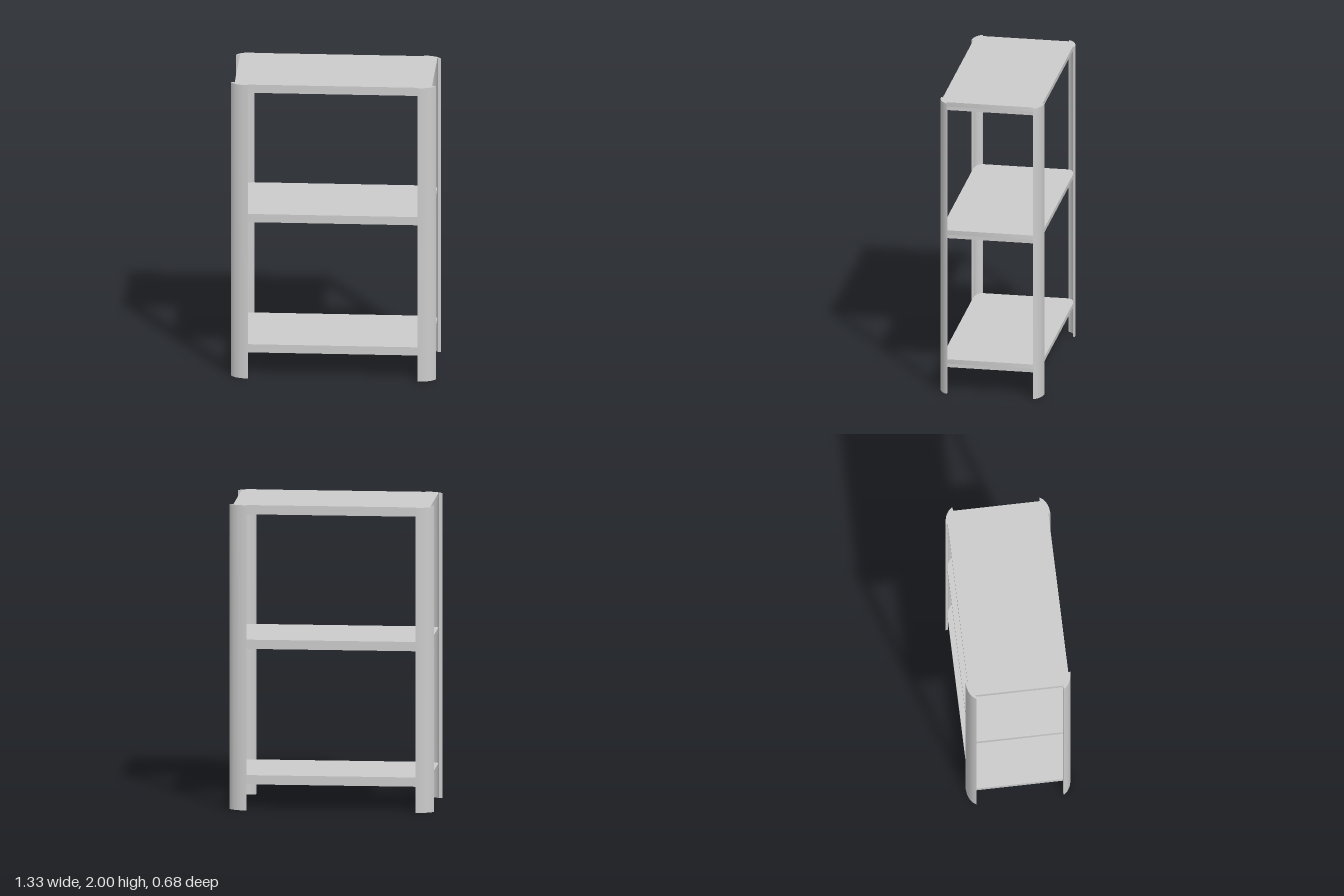
import * as THREE from 'three';
import { toCreasedNormals } from 'three/addons/utils/BufferGeometryUtils.js';

const material = new THREE.MeshStandardMaterial({ color: 0xcccccc });

// Raise a plan outline (x, z) into a solid standing between two heights.
function raise(shape, bottom, top) {
  const geometry = new THREE.ExtrudeGeometry(shape, {
    depth: top - bottom, bevelEnabled: false, curveSegments: 14,
  });
  geometry.rotateX(-Math.PI / 2);
  geometry.translate(0, bottom, 0);
  return toCreasedNormals(geometry, 0.6);
}

function addPart(parent, name, geometry) {
  const mesh = new THREE.Mesh(geometry, material);
  mesh.name = name;
  parent.add(mesh);
}

// Board outline: a rectangle with soft, elongated corners.
function boardShape() {
  const x = 0.64, z = 0.328, cx = 0.555, cz = 0.283;
  const s = new THREE.Shape();
  s.moveTo(-cx, -z);
  s.lineTo(cx, -z);
  s.quadraticCurveTo(0.625, -z, x, -cz);
  s.lineTo(x, cz);
  s.quadraticCurveTo(0.625, z, cx, z);
  s.lineTo(-cx, z);
  s.quadraticCurveTo(-0.625, z, -x, cz);
  s.lineTo(-x, -cz);
  s.quadraticCurveTo(-0.625, -z, -cx, -z);
  return s;
}

// Post outline: a curved shell wrapped round one corner (sx, sz give the corner).
function postShape(sx, sz) {
  const s = new THREE.Shape();
  s.moveTo(sx * 0.55, sz * 0.341);
  s.quadraticCurveTo(sx * 0.635, sz * 0.338, sx * 0.665, sz * 0.284);
  s.lineTo(sx * 0.643, sz * 0.283);
  s.quadraticCurveTo(sx * 0.62, sz * 0.326, sx * 0.553, sz * 0.327);
  s.closePath();
  return s;
}

export function createModel() {
  const group = new THREE.Group();
  group.name = 'shelfUnit';

  // Three shelves: a board over a slightly smaller support panel.
  const shelves = [['bottomShelf', 0.23], ['middleShelf', 1.118], ['topShelf', 2]];
  for (const [name, top] of shelves) {
    const shelf = new THREE.Group();
    shelf.name = name;
    addPart(shelf, 'board', raise(boardShape(), top - 0.03, top));
    const panel = new THREE.BoxGeometry(1.22, 0.035, 0.6);
    panel.translate(0, top - 0.0475, 0);
    addPart(shelf, 'supportPanel', panel);
    group.add(shelf);
  }

  // Four curved corner posts.
  for (const sx of [-1, 1]) {
    for (const sz of [-1, 1]) {
      const name = (sz > 0 ? 'back' : 'front') + (sx > 0 ? 'Left' : 'Right') + 'Post';
      addPart(group, name, raise(postShape(sx, sz), 0, 2));
    }
  }
  return group;
}
